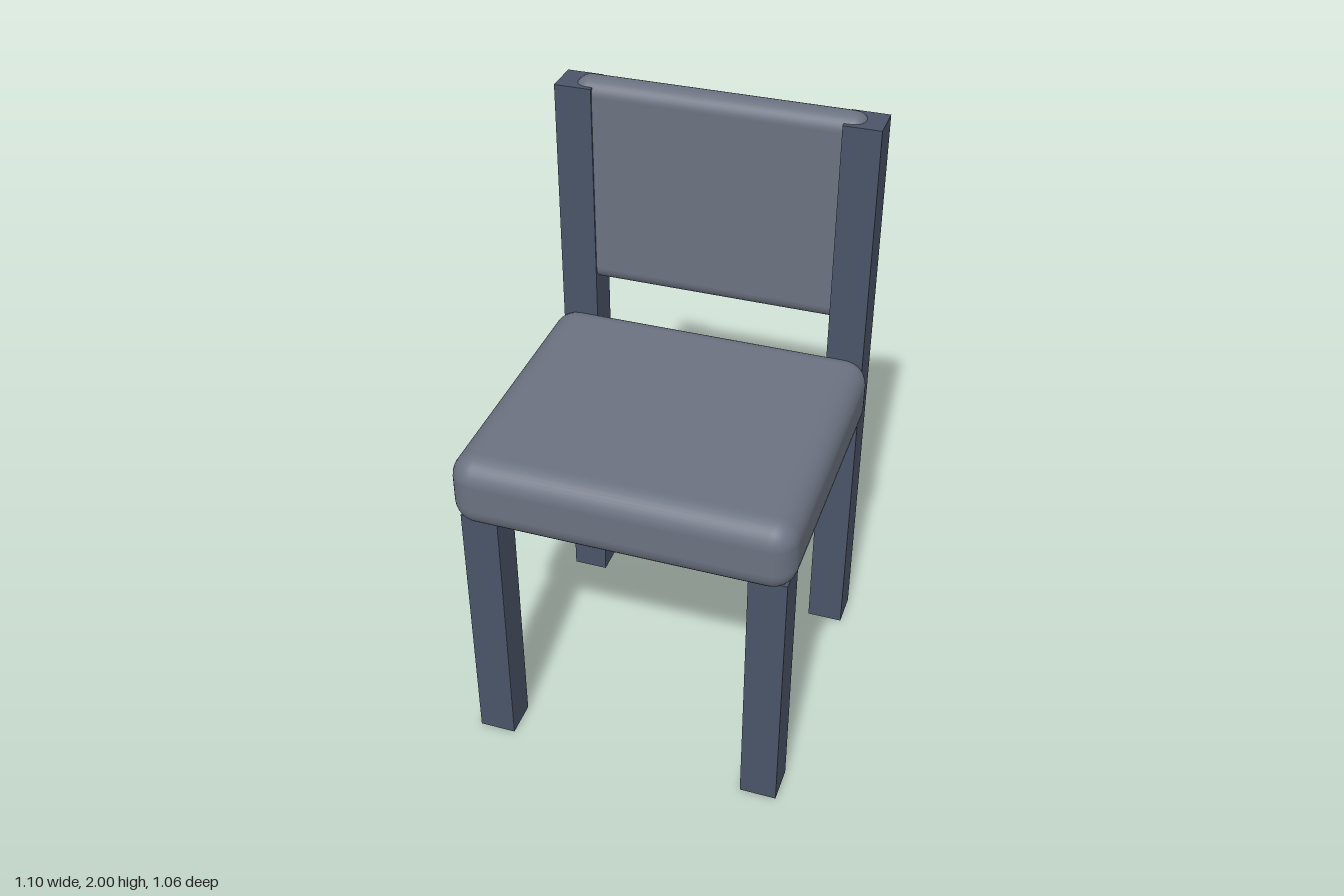
import * as THREE from 'three';
import { RoundedBoxGeometry } from 'three/addons/geometries/RoundedBoxGeometry.js';

export function createModel() {
  const chair = new THREE.Group();
  chair.name = 'chair';
  const frame = new THREE.MeshStandardMaterial({ color: 0x4a5568 });
  const cushion = new THREE.MeshStandardMaterial({ color: 0x6b7280 });

  const add = (name, geometry, material, x, y, z) => {
    const mesh = new THREE.Mesh(geometry, material);
    mesh.name = name;
    mesh.position.set(x, y, z);
    chair.add(mesh);
  };

  // Square legs; the back pair runs up to hold the backrest
  const thick = 0.122, frontHeight = 0.93, backHeight = 1.98;
  for (const [side, x] of [['left', 0.465], ['right', -0.465]]) {
    add(side + 'FrontLeg', new THREE.BoxGeometry(thick, frontHeight, thick), frame, x, frontHeight / 2, 0.426);
    add(side + 'BackPost', new THREE.BoxGeometry(thick, backHeight, thick), frame, x, backHeight / 2, -0.472);
  }

  // Padded seat and backrest with rounded edges
  add('seat', new RoundedBoxGeometry(1.096, 0.248, 0.982, 4, 0.08), cushion, 0, 1.036, 0.04);
  add('backrest', new RoundedBoxGeometry(0.95, 0.714, 0.109, 4, 0.05), cushion, 0, 1.643, -0.472);

  return chair;
}
